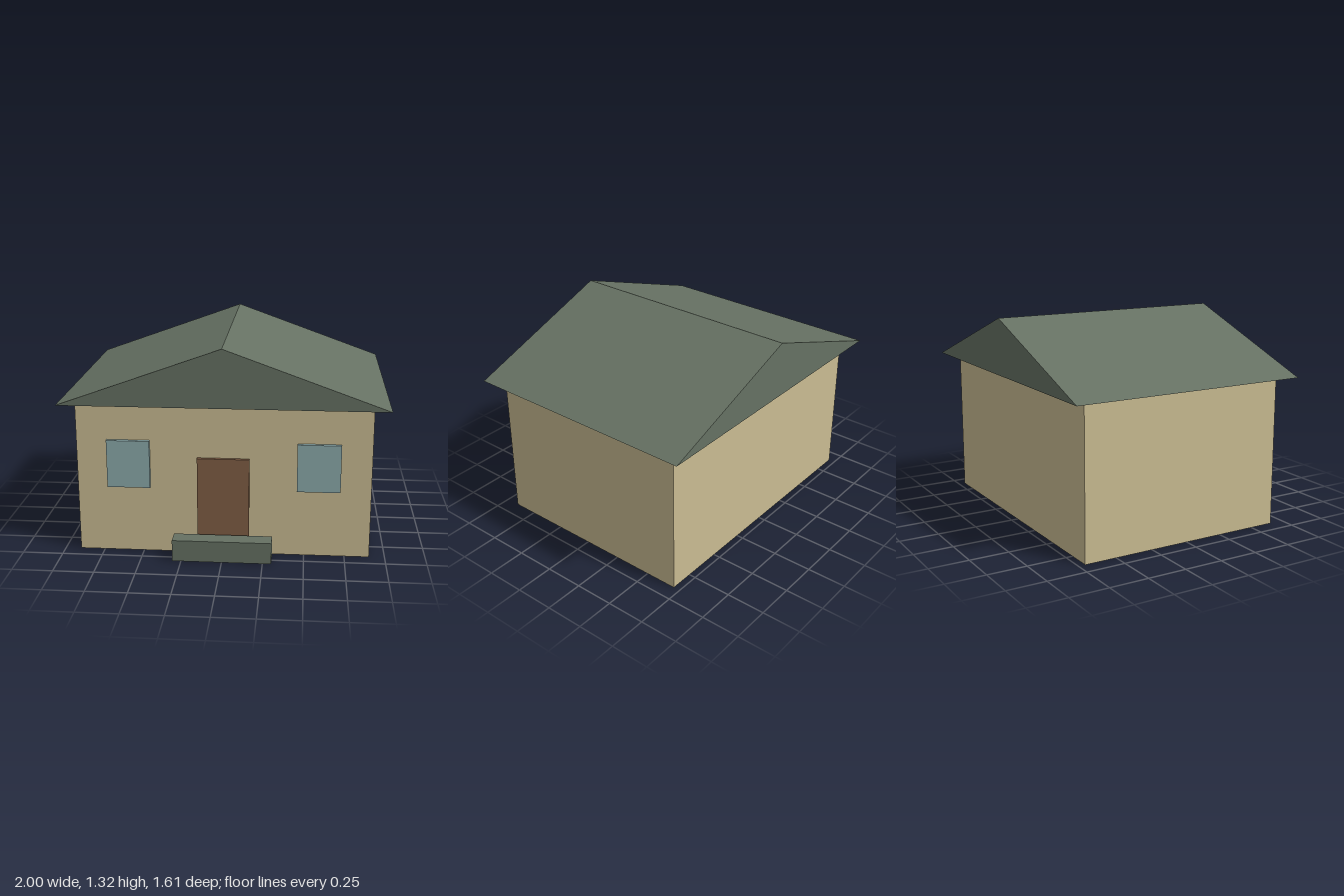
import * as THREE from 'three';

const material = (name, color) => {
  const m = new THREE.MeshStandardMaterial({ color });
  m.name = name;
  return m;
};

export function createModel() {
  const house = new THREE.Group();
  house.name = 'house';

  const plaster = material('sand plaster', 0xcabc92);
  const slate = material('grey green slate', 0x667163);
  const wood = material('brown wood', 0x805e45);
  const glass = material('blue glass', 0x8caaab);

  // Adds a box given its extents along each axis
  const addBox = (name, mat, [x0, x1], [y0, y1], [z0, z1]) => {
    const mesh = new THREE.Mesh(new THREE.BoxGeometry(x1 - x0, y1 - y0, z1 - z0), mat);
    mesh.position.set((x0 + x1) / 2, (y0 + y1) / 2, (z0 + z1) / 2);
    mesh.name = name;
    house.add(mesh);
  };

  addBox('walls', plaster, [-0.903, 0.903], [0, 0.96], [-0.707, 0.656]);
  addBox('door', wood, [-0.16, 0.16], [0, 0.622], [0.65, 0.677]);
  addBox('doorstep', slate, [-0.304, 0.304], [0, 0.135], [0.697, 0.806]);

  // Matching windows either side of the door
  addBox('leftWindow', glass, [0.45, 0.715], [0.426, 0.726], [0.65, 0.681]);
  addBox('rightWindow', glass, [-0.715, -0.45], [0.426, 0.726], [0.65, 0.681]);

  // Solid gable roof with overhanging eaves
  const gable = new THREE.Shape([
    new THREE.Vector2(-1, 0.96),
    new THREE.Vector2(1, 0.96),
    new THREE.Vector2(0, 1.32),
  ]);
  const roof = new THREE.Mesh(
    new THREE.ExtrudeGeometry(gable, { depth: 1.555, bevelEnabled: false }),
    slate
  );
  roof.position.z = -0.806;
  roof.name = 'roof';
  house.add(roof);

  return house;
}
